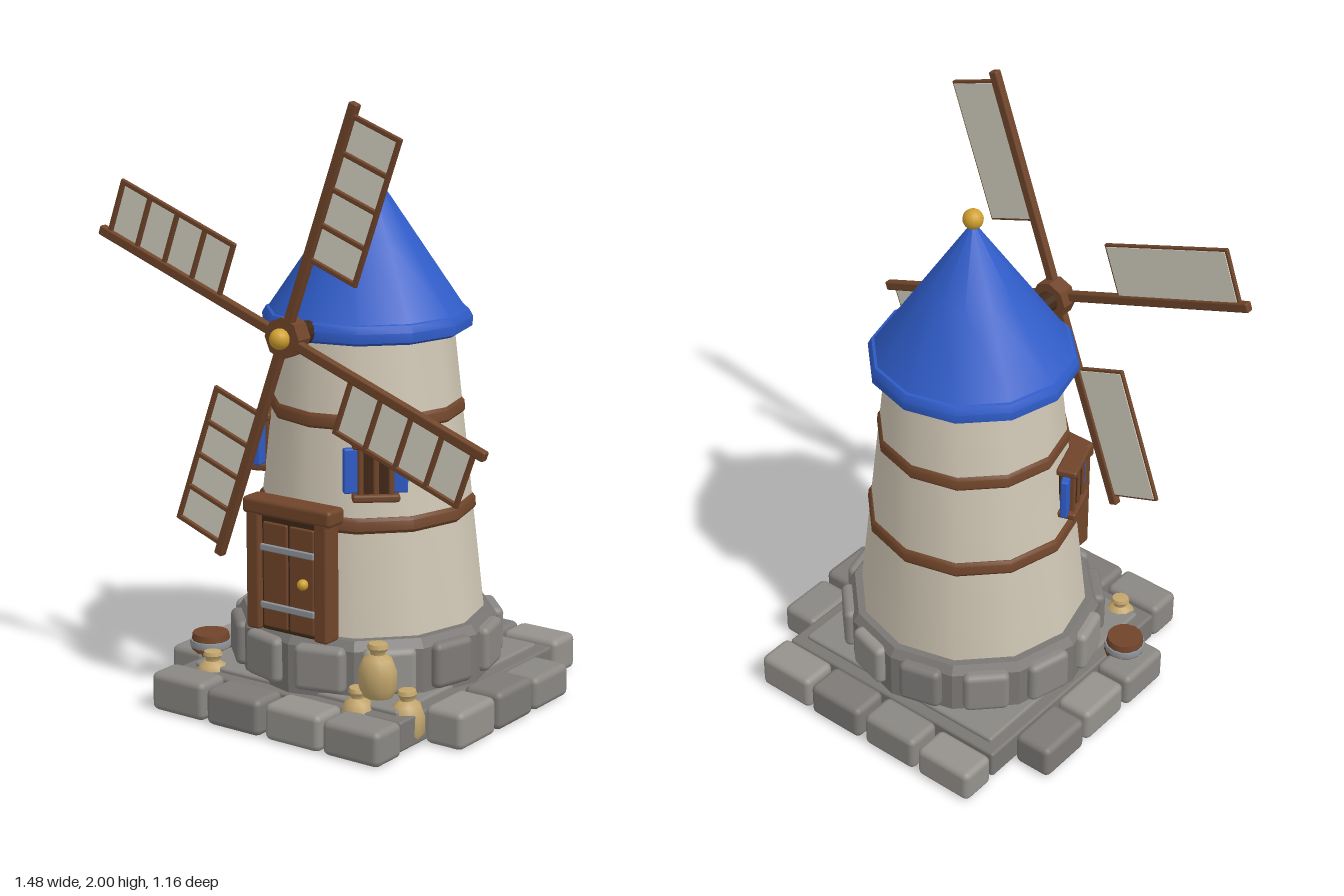
import * as THREE from 'three';
import { RoundedBoxGeometry } from 'three/addons/geometries/RoundedBoxGeometry.js';
import { toCreasedNormals } from 'three/addons/utils/BufferGeometryUtils.js';

const mat = (color, side = THREE.FrontSide) => new THREE.MeshStandardMaterial({ color, side });
const M = {
  stones: [mat(0x8a8783), mat(0x7d7a77), mat(0x95928d)],
  slab: mat(0x7a7774), wall: mat(0xcfc6b4), wood: mat(0x70452a), dark: mat(0x3f2817),
  blue: mat(0x2f5cc8), gold: mat(0xd0a030), iron: mat(0x8f959c),
  cloth: mat(0xd8d4c4, THREE.DoubleSide), sack: mat(0xc2a56c),
};

let seed = 7;
const rand = () => (seed = (seed * 16807) % 2147483647) / 2147483647;

function add(parent, name, geo, material, x = 0, y = 0, z = 0) {
  const m = new THREE.Mesh(geo, material);
  m.name = name;
  m.position.set(x, y, z);
  parent.add(m);
  return m;
}
function group(parent, name, x = 0, y = 0, z = 0) {
  const g = new THREE.Group();
  g.name = name;
  g.position.set(x, y, z);
  parent.add(g);
  return g;
}
const box = (w, h, d, r = 0.006) => new RoundedBoxGeometry(w, h, d, 2, Math.min(r, w / 2.1, h / 2.1, d / 2.1));
const lathe = (pts, sides, crease = 0.6) => toCreasedNormals(
  new THREE.LatheGeometry(pts.map(p => new THREE.Vector2(...p)), sides), crease);
const ball = r => new THREE.SphereGeometry(r, 16, 12);

// Square plinth with a border of loose stones
function buildBase(root) {
  const base = group(root, 'base');
  add(base, 'lowerSlab', box(0.89, 0.1, 0.89, 0.01), M.slab, 0, 0.06, 0);
  add(base, 'upperSlab', box(0.81, 0.05, 0.81, 0.01), M.stones[0], 0, 0.1, 0);
  const stone = (x, z, w, d, i) => {
    const h = 0.11 + 0.02 * rand();
    add(base, 'borderStone', box(w, h, d, 0.022), M.stones[i % 3], x, h / 2, z);
  };
  [-0.342, -0.113, 0.122, 0.347].forEach((x, i) => {
    stone(x, 0.513, 0.214, 0.125 + 0.012 * rand(), i);
    stone(x, -0.517, 0.214, 0.125 + 0.012 * rand(), i + 2);
  });
  [-0.23, -0.01, 0.21].forEach((z, i) => {
    stone(0.51, z, 0.13 + 0.012 * rand(), 0.203, i);
    stone(-0.515, z, 0.13 + 0.012 * rand(), 0.203, i + 1);
  });
}

// Ring of foundation stones around a twelve-sided core
function buildFoundation(root) {
  const ring = group(root, 'foundation');
  add(ring, 'foundationCore', lathe([[0, 0.1], [0.43, 0.1], [0.43, 0.27], [0.41, 0.3], [0, 0.3]], 12, 0.3), M.slab);
  for (let i = 0; i < 12; i++) {
    const a = (i + 0.5) * Math.PI / 6;
    const g = box(0.145 + 0.03 * rand(), 0.15, 0.06, 0.022);
    const s = add(ring, 'foundationStone', g, M.stones[(i * 2 + (i >> 2)) % 3], 0.415 * Math.sin(a), 0.205, 0.415 * Math.cos(a));
    s.rotation.y = a;
  }
}

// Tapered tower, timber bands and conical roof
function buildTower(root) {
  const tower = group(root, 'tower');
  add(tower, 'wall', lathe([[0, 0.29], [0.385, 0.29], [0.28, 1.24], [0, 1.24]], 12), M.wall);
  for (const [y, r] of [[0.655, 0.355], [0.975, 0.317]])
    add(tower, 'timberBand', lathe([[r - 0.035, y - 0.025], [r - 0.007, y - 0.025], [r, y - 0.015], [r - 0.002, y + 0.015],
      [r - 0.01, y + 0.025], [r - 0.04, y + 0.025]], 12), M.wood);
  add(tower, 'roof', lathe([[0, 1.225], [0.32, 1.225], [0.338, 1.235], [0.34, 1.265], [0.328, 1.288], [0.31, 1.292]], 12), M.blue);
  add(tower, 'roofCone', lathe([[0.322, 1.285], [0.16, 1.523], [0.002, 1.755]], 12), M.blue);
  add(tower, 'finial', ball(0.033), M.gold, 0, 1.765, 0);
}

// Framed plank door with iron straps
function buildDoor(root) {
  const door = group(root, 'door', 0, 0, 0.4);
  add(door, 'doorBacking', box(0.22, 0.38, 0.06), M.dark, 0, 0.49, -0.01);
  for (const s of [-1, 1]) {
    add(door, 'doorPost', box(0.052, 0.39, 0.07, 0.01), M.wood, s * 0.133, 0.495, 0.005);
    add(door, 'doorPlank', box(0.096, 0.345, 0.03), M.wood, s * 0.052, 0.485, 0.012);
  }
  add(door, 'lintel', box(0.345, 0.055, 0.085, 0.014), M.wood, 0, 0.705, 0);
  for (const y of [0.385, 0.575]) add(door, 'doorStrap', box(0.21, 0.022, 0.012, 0.004), M.iron, 0, y, 0.03);
  add(door, 'doorKnob', ball(0.018), M.gold, 0.065, 0.48, 0.037);
}

// Shuttered window facing outwards at an angle around the tower
function buildWindow(root, angle, r) {
  const w = group(root, 'window', r * Math.sin(angle), 0.835, r * Math.cos(angle));
  w.rotation.y = angle;
  add(w, 'windowPane', box(0.1, 0.16, 0.05), M.dark, 0, 0, -0.015);
  for (const x of [-0.048, 0, 0.048]) add(w, 'windowBar', box(0.018, 0.16, 0.05), M.wood, x, 0, -0.008);
  for (const s of [-1, 1]) {
    add(w, 'windowLedge', box(0.15, 0.025, 0.07, 0.008), M.wood, 0, s * 0.085, -0.008);
    const sh = add(w, 'shutter', box(0.048, 0.145, 0.025), M.blue, s * 0.078, 0, -0.008);
    sh.rotation.y = -s * 0.12;
  }
}

// Axle, hub and four lattice sails
function buildSails(root) {
  const rotor = group(root, 'sails', 0, 1.26, 0.435);
  const turned = (name, r, len, sides, m, z) => {
    add(rotor, name, toCreasedNormals(new THREE.CylinderGeometry(r, r, len, sides), 0.5), m, 0, 0, z).rotation.x = Math.PI / 2;
  };
  turned('axle', 0.036, 0.2, 12, M.dark, -0.1);
  turned('hub', 0.066, 0.06, 8, M.wood, -0.015);
  add(rotor, 'hubCap', ball(0.033), M.gold, 0, 0, 0.025);
  for (let i = 0; i < 4; i++) {
    const sail = group(rotor, 'sail');
    sail.rotation.z = THREE.MathUtils.degToRad(-20 + 90 * i);
    add(sail, 'sailArm', box(0.785, 0.032, 0.028), M.wood, 0.3925, 0, 0);
    add(sail, 'sailCloth', new THREE.BoxGeometry(0.47, 0.172, 0.006), M.cloth, 0.51, -0.1, -0.004);
    add(sail, 'sailEdge', box(0.488, 0.016, 0.014, 0.004), M.wood, 0.51, -0.186, 0.003);
    for (let k = 0; k < 5; k++)
      add(sail, 'sailRung', box(0.016, 0.18, 0.014, 0.004), M.wood, 0.274 + k * 0.118, -0.1, 0.003);
  }
}

// Barrel and grain sacks on the plinth
function buildGoods(root) {
  const barrel = group(root, 'barrel', -0.47, 0.01, 0.24);
  add(barrel, 'barrelBody', lathe([[0, 0], [0.056, 0], [0.068, 0.05], [0.07, 0.08], [0.068, 0.11], [0.06, 0.16], [0, 0.16]], 14), M.wood);
  for (const y of [0.035, 0.125])
    add(barrel, 'barrelHoop', lathe([[0.06, y - 0.012], [0.068, y - 0.012], [0.07, y], [0.068, y + 0.012], [0.06, y + 0.012]], 14), M.iron);
  const profile = [[0, 0], [0.045, 0.004], [0.06, 0.03], [0.06, 0.085], [0.046, 0.122], [0.024, 0.135],
    [0.024, 0.142], [0.034, 0.155], [0.03, 0.168], [0, 0.172]];
  const spots = [[-0.34, 0.01, 0.39, 0.95], [0.40, 0.01, 0.345, 1], [0.26, 0.01, 0.415, 1], [0.32, 0.15, 0.39, 1.05]];
  spots.forEach(([x, y, z, s], i) => {
    const sack = add(root, 'sack', lathe(profile, 10, 0.9), M.sack, x, y, z);
    sack.scale.set(s, s, s * 0.88);
    sack.rotation.y = 0.5 + i * 0.9;
  });
}

export function createModel() {
  seed = 7;
  const root = new THREE.Group();
  root.name = 'windmill';
  buildBase(root);
  buildFoundation(root);
  buildTower(root);
  buildDoor(root);
  buildWindow(root, 0.7, 0.342);
  buildWindow(root, -1.23, 0.35);
  buildSails(root);
  buildGoods(root);
  return root;
}
